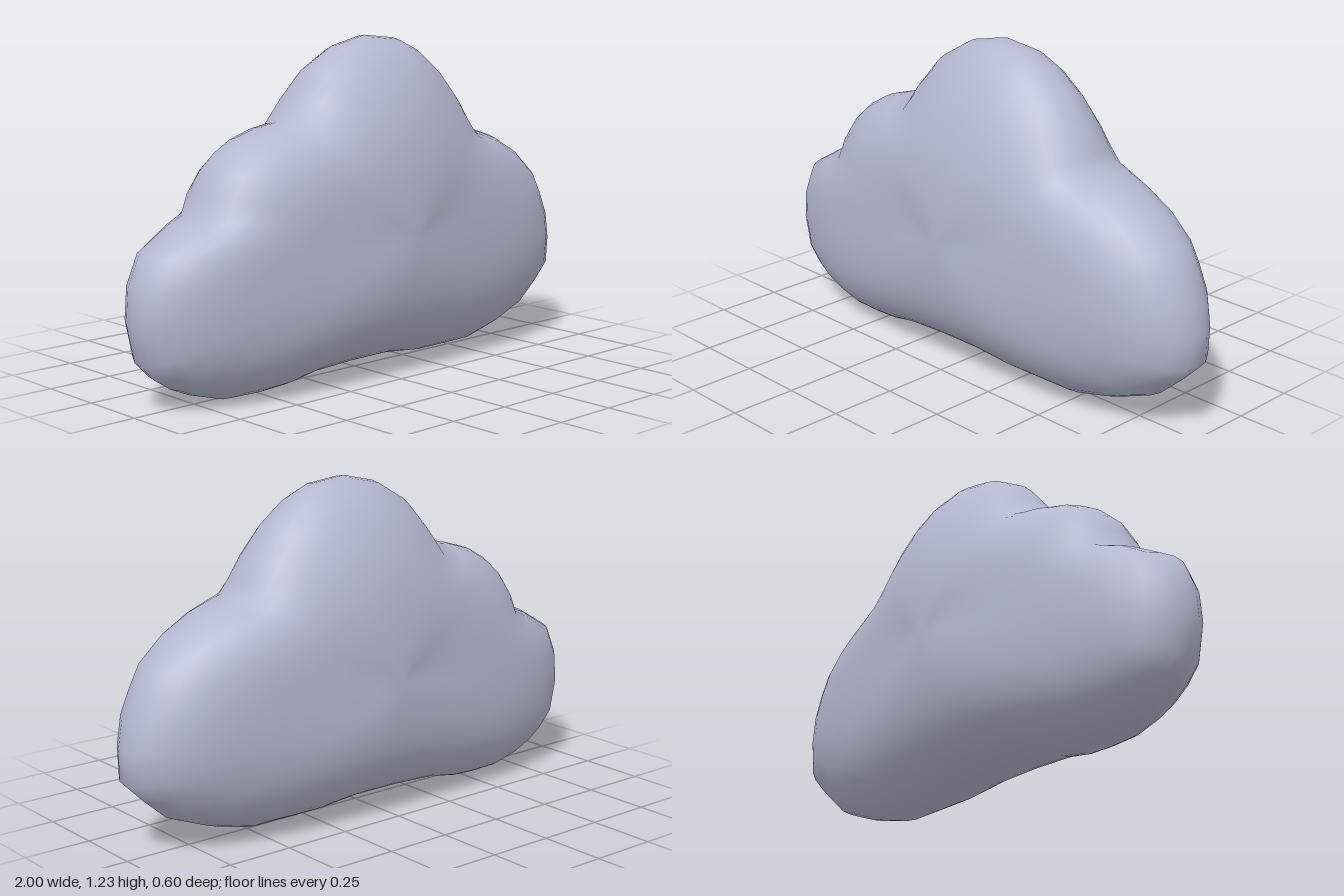
import * as THREE from 'three';

// Cloud silhouette, counter-clockwise seen from the front
const OUTLINE = [
  [1, 0.27], [1, 0.38], [0.98, 0.49], [0.94, 0.58], [0.9, 0.66], [0.8, 0.75], [0.68, 0.815], [0.6, 0.84], [0.535, 0.855],
  [0.51, 0.9], [0.46, 0.99], [0.38, 1.09], [0.28, 1.17], [0.19, 1.21], [0.05, 1.225], [-0.08, 1.195],
  [-0.2, 1.125], [-0.28, 1.03], [-0.335, 0.935], [-0.43, 0.925], [-0.53, 0.895], [-0.6, 0.855], [-0.66, 0.8],
  [-0.71, 0.715], [-0.725, 0.645], [-0.8, 0.62], [-0.94, 0.54], [-0.99, 0.43], [-1, 0.31], [-0.97, 0.17],
  [-0.91, 0.11], [-0.85, 0.07], [-0.77, 0.035], [-0.66, 0.003], [-0.54, 0], [-0.44, 0.005], [-0.33, 0.03],
  [-0.12, 0.04], [0.1, 0.04], [0.27, 0.02], [0.4, 0.02], [0.54, 0.02], [0.69, 0.06], [0.84, 0.12], [0.93, 0.2],
];
const CENTRE = [0.03, 0.52];
const DEPTH = 0.3;
const RINGS = 28;

// Softened outline, so that the creases between the puffs fade inwards
function softened(i, reach) {
  const n = OUTLINE.length;
  let x = 0, y = 0;
  for (let k = -reach; k <= reach; k++) {
    const p = OUTLINE[(i + k + n) % n];
    x += p[0];
    y += p[1];
  }
  return [x / (2 * reach + 1), y / (2 * reach + 1)];
}

// Inflate the silhouette: rings run from the front pole over the rim to the back pole
function cloudGeometry() {
  const n = OUTLINE.length;
  const soft = OUTLINE.map((_, i) => softened(i, 3));
  const positions = [CENTRE[0], CENTRE[1], DEPTH];
  const index = [];
  for (let j = 1; j < RINGS; j++) {
    const t = (j / RINGS) * Math.PI;
    const s = Math.sin(t);
    const side = j * 2 === RINGS ? 0 : Math.sign(Math.cos(t));
    const edge = s ** 4;
    OUTLINE.forEach((p, i) => {
      const dx = soft[i][0] + (p[0] - soft[i][0]) * edge - CENTRE[0];
      const dy = soft[i][1] + (p[1] - soft[i][1]) * edge - CENTRE[1];
      // Blunt taper along the length, rounder over the top and bottom
      const w = (dx * dx) / (dx * dx + dy * dy);
      const along = Math.sqrt(Math.max(0, 1 - s ** 8)) * (1 - 0.3 * s);
      const across = Math.sqrt(Math.max(0, 1 - s ** 2.5));
      const z = DEPTH * side * (across + (along - across) * w * w);
      positions.push(CENTRE[0] + dx * s, CENTRE[1] + dy * s, z);
    });
  }
  positions.push(CENTRE[0], CENTRE[1], -DEPTH);
  const last = positions.length / 3 - 1;
  for (let i = 0; i < n; i++) {
    const k = (i + 1) % n;
    index.push(0, 1 + i, 1 + k);
    for (let j = 0; j < RINGS - 2; j++) {
      const a = 1 + j * n, b = a + n;
      index.push(a + i, b + i, b + k, a + i, b + k, a + k);
    }
    index.push(last, last - n + k, last - n + i);
  }
  const geometry = new THREE.BufferGeometry();
  geometry.setAttribute('position', new THREE.Float32BufferAttribute(positions, 3));
  geometry.setIndex(index);
  geometry.computeVertexNormals();
  return geometry;
}

export function createModel() {
  const group = new THREE.Group();
  group.name = 'cloud';
  const material = new THREE.MeshStandardMaterial({ color: 0xb4b8d0 });
  material.name = 'pale blue grey';
  const body = new THREE.Mesh(cloudGeometry(), material);
  body.name = 'cloudBody';
  group.add(body);
  return group;
}
